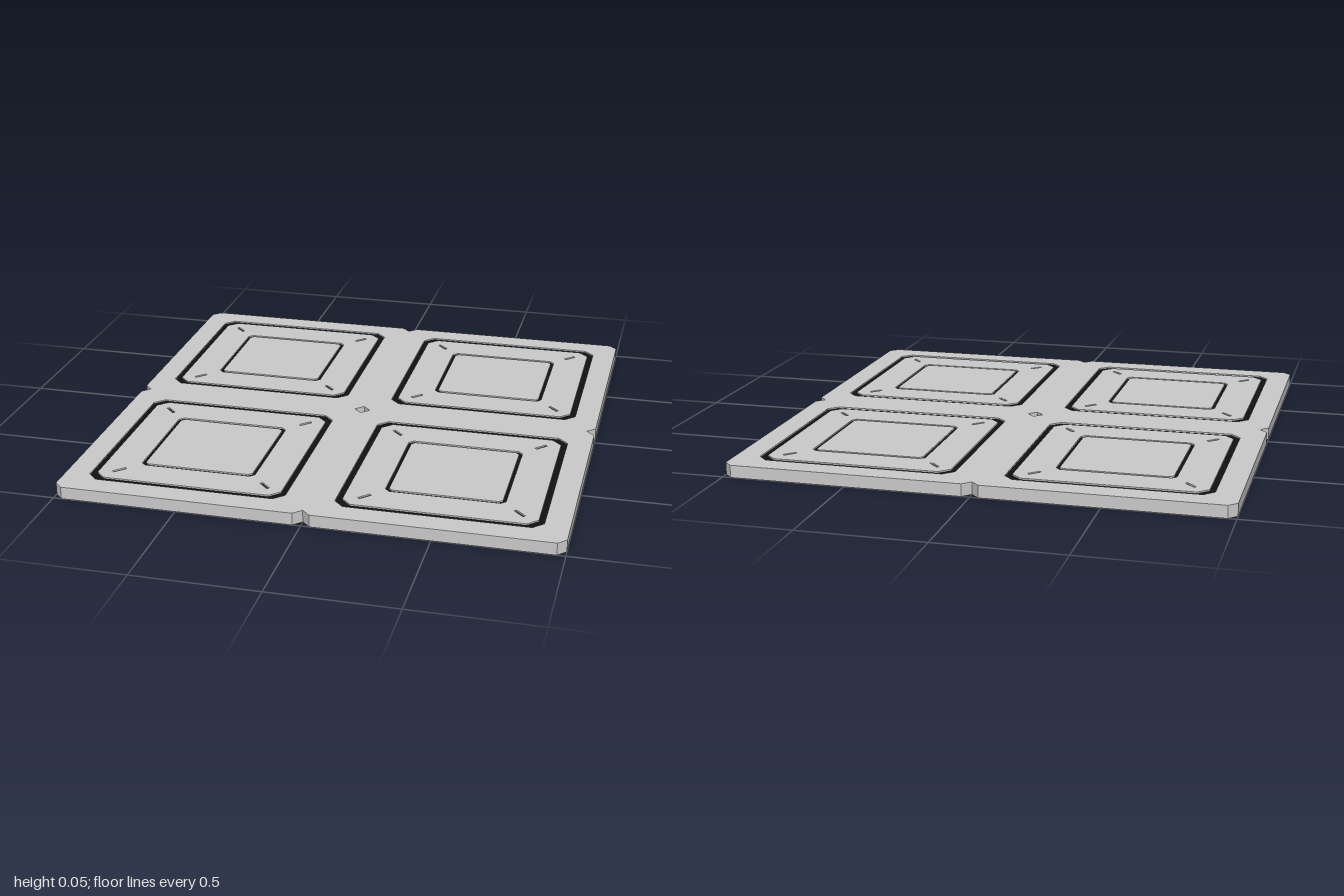
import * as THREE from 'three';

const H = 0.05;        // tile thickness
const RECESS = 0.006;  // inlays sit this far below both faces

// Square outline with cut corners, half-size s and corner cut c
function cutSquare(s, c) {
  return [[s, c - s], [s, s - c], [s - c, s], [c - s, s], [-s, s - c], [-s, c - s], [c - s, -s], [s - c, -s]]
    .map(([x, y]) => new THREE.Vector2(x, y));
}

// Short bar outline on a diagonal, pointing at the tile centre
function barOutline(angle) {
  const r = 0.425, l = 0.028, w = 0.006;
  return [[r - l, -w], [r + l, -w], [r + l, w], [r - l, w]]
    .map(([x, y]) => new THREE.Vector2(x, y).rotateAround(new THREE.Vector2(), angle));
}

// Upright prism between two heights, with optional holes
function prism(outline, holes, y0, y1) {
  const shape = new THREE.Shape(outline);
  for (const h of holes) shape.holes.push(new THREE.Path(h));
  const g = new THREE.ExtrudeGeometry(shape, { depth: y1 - y0, bevelEnabled: false });
  return g.rotateX(-Math.PI / 2).translate(0, y0, 0);
}

export function createModel() {
  const model = new THREE.Group();
  model.name = 'tilePanel';
  const grey = new THREE.MeshStandardMaterial({ color: 0xcccccc });
  const black = new THREE.MeshStandardMaterial({ color: 0x111111 });
  const slate = new THREE.MeshStandardMaterial({ color: 0x2b2f3a });

  const edge = cutSquare(0.5, 0.033);
  const outerA = cutSquare(0.402, 0.04), outerB = cutSquare(0.378, 0.04);
  const innerA = cutSquare(0.236, 0.018), innerB = cutSquare(0.223, 0.014);
  const bars = [1, 3, 5, 7].map((k) => barOutline(k * Math.PI / 4));
  const low = RECESS, high = H - RECESS;

  const parts = [
    ['rim', prism(edge, [outerA], 0, H), grey],
    ['panel', prism(outerB, [innerA, ...bars], 0, H), grey],
    ['centrePlate', prism(innerB, [], 0, H), grey],
    ['outerInlay', prism(outerA, [outerB], low, high), black],
    ['innerInlay', prism(innerA, [innerB], low, high), black],
    ...bars.map((b) => ['cornerMark', prism(b, [], low, high), slate]),
  ];

  // Four identical tiles in a square
  for (const x of [-0.5, 0.5]) {
    for (const z of [-0.5, 0.5]) {
      const tile = new THREE.Group();
      tile.name = 'tile';
      for (const [name, geometry, material] of parts) {
        const mesh = new THREE.Mesh(geometry, material);
        mesh.name = name;
        tile.add(mesh);
      }
      tile.position.set(x, 0, z);
      model.add(tile);
    }
  }
  return model;
}
